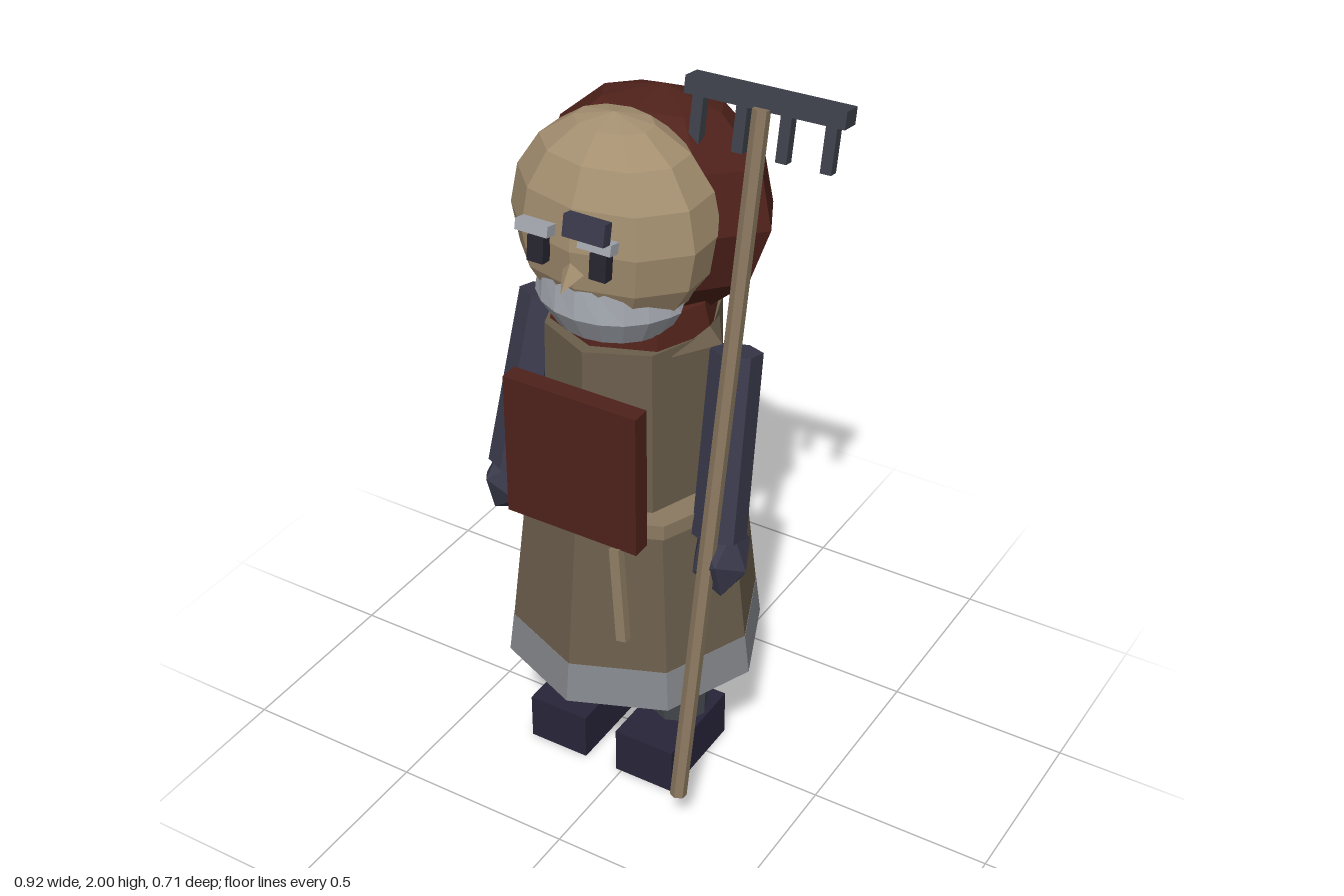
import * as THREE from 'three';

const CX = -0.066; // centre line of the figure

const mat = (color, side = THREE.FrontSide) =>
  new THREE.MeshStandardMaterial({ color, flatShading: true, side });

const M = {
  coat: mat(0x6b5e4c), trim: mat(0x8b7a61), skin: mat(0xa48f70), hood: mat(0x50221b),
  panel: mat(0x4f221b), beard: mat(0xa4a8b0, THREE.DoubleSide), hem: mat(0x85888c),
  sleeve: mat(0x39394b), boot: mat(0x28253a), leg: mat(0x42474c),
  wood: mat(0x87755d), iron: mat(0x3c4049), dark: mat(0x26242f),
};

export function createModel() {
  const root = new THREE.Group();
  root.name = 'gardener';

  const add = (name, geo, material, pos, rot = [0, 0, 0], scale = [1, 1, 1], parent = root) => {
    const m = new THREE.Mesh(geo, material);
    m.name = name;
    m.position.set(...pos);
    m.rotation.set(...rot);
    m.scale.set(...scale);
    parent.add(m);
    return m;
  };
  const box = (name, size, material, pos, rot, parent) =>
    add(name, new THREE.BoxGeometry(...size), material, pos, rot, [1, 1, 1], parent);
  // Upright eight-sided ring between two heights
  const band = (name, rTop, rBottom, y0, y1, material, scale) =>
    add(name, new THREE.CylinderGeometry(rTop, rBottom, y1 - y0, 8), material,
      [CX, (y0 + y1) / 2, 0], [0, 0, 0], scale);
  // Cylinder running from one point to another
  const limb = (name, a, b, rA, rB, sides, material) => {
    const from = new THREE.Vector3(...a), to = new THREE.Vector3(...b);
    const dir = to.clone().sub(from);
    const m = add(name, new THREE.CylinderGeometry(rB, rA, dir.length(), sides), material,
      from.add(to).multiplyScalar(0.5).toArray());
    m.quaternion.setFromUnitVectors(new THREE.Vector3(0, 1, 0), dir.normalize());
    return m;
  };

  // Coat
  band('hem', 0.336, 0.35, 0.34, 0.455, M.hem);
  band('skirt', 0.288, 0.335, 0.455, 0.87, M.coat);
  band('belt', 0.303, 0.303, 0.858, 0.9, M.trim);
  band('torso', 0.242, 0.252, 0.88, 1.355, M.coat, [0.9, 1, 1]);
  band('collar', 0.19, 0.25, 1.33, 1.4, M.coat, [1, 1, 0.65]);
  band('scarf', 0.2, 0.22, 1.35, 1.43, M.hood, [1, 1, 0.95]);

  // Front panel and hanging belt end
  box('frontPanel', [0.38, 0.4, 0.052], M.panel, [CX, 1.06, 0.281]);
  box('beltEnd', [0.028, 0.255, 0.025], M.trim, [0.085, 0.735, 0.322], [-0.14, 0, 0.16]);

  // Mirrored limbs
  for (const s of [-1, 1]) {
    const side = s > 0 ? 'left' : 'right';
    const x = (d) => CX + s * d;
    limb(side + 'Leg', [x(0.137), 0.1, 0], [x(0.137), 0.5, 0], 0.078, 0.092, 8, M.leg);
    box(side + 'Boot', [0.176, 0.135, 0.29], M.boot, [x(0.137), 0.0675, 0.045]);
    limb(side + 'Arm', [x(0.31), 0.84, 0.105], [x(0.28), 1.31, -0.02], 0.069, 0.066, 6, M.sleeve);
    add(side + 'Hand', new THREE.IcosahedronGeometry(0.105, 0), M.sleeve,
      [x(0.318), 0.785, s > 0 ? 0.105 : 0.08], [0.3, s * 0.4, 0], [0.76, 1.02, 1]);
    // Eyes and brows
    box(side + 'Eye', [0.045, 0.065, 0.03], M.dark, [x(0.086), 1.637, 0.285], [-0.1, 0, 0]);
    box(side + 'Brow', [0.09, 0.028, 0.035], M.beard, [x(0.086), 1.698, 0.296], [-0.2, 0, 0]);
  }

  // Head and hood
  add('head', new THREE.SphereGeometry(1, 10, 8, Math.PI / 2), M.skin,
    [CX, 1.65, 0.085], [0, 0, 0], [0.27, 0.275, 0.202]);
  add('hood', new THREE.SphereGeometry(1, 8, 6, Math.PI / 2), M.hood,
    [CX, 1.622, -0.09], [-0.17, 0, 0], [0.327, 0.29, 0.268]);
  add('nose', new THREE.ConeGeometry(0.042, 0.09, 4), M.skin,
    [CX, 1.58, 0.287], [2.1, 0, 0]);
  box('browPatch', [0.112, 0.055, 0.03], M.sleeve, [0.003, 1.743, 0.315], [-0.2, 0, 0]);

  // Beard: front half of a bowl with a jagged upper edge
  const profile = [[0, 1.38], [0.155, 1.388], [0.2, 1.46], [0.192, 1.55]]
    .map(([r, y]) => new THREE.Vector2(r, y));
  const beard = new THREE.LatheGeometry(profile, 10, -Math.PI / 2, Math.PI);
  const p = beard.attributes.position;
  for (let i = 0; i <= 10; i++) {
    const away = Math.abs(i - 5) / 5;
    const rim = i * 4 + 3;
    p.setY(rim, p.getY(rim) + (i % 2 ? 0.012 : -0.018) - 0.06 * away ** 3);
    if (i === 0 || i === 10) p.setZ(rim - 1, 0.03);
  }
  add('beard', beard, M.beard, [CX, 0, 0.085], [0, 0, 0], [1, 1, 0.94]);

  // Rake, leaning back at the top
  const rake = new THREE.Group();
  rake.name = 'rake';
  rake.position.set(0.252, 1.045, 0.135);
  rake.rotation.x = -0.19;
  root.add(rake);
  add('handle', new THREE.CylinderGeometry(0.022, 0.022, 1.86, 6), M.wood, [0, 0, 0],
    [0, 0, 0], [1, 1, 1], rake);
  const rakeHead = new THREE.Group();
  rakeHead.name = 'rakeHead';
  rakeHead.position.set(0, 0.945, -0.035);
  rakeHead.rotation.y = 0.07;
  rake.add(rakeHead);
  box('bar', [0.405, 0.043, 0.062], M.iron, [0, 0, 0], [0, 0, 0], rakeHead);
  for (let i = 0; i < 4; i++) {
    box('tine', [0.028, 0.12, 0.03], M.iron, [-0.168 + i * 0.112, -0.075, 0.01], [0, 0, 0], rakeHead);
  }

  return root;
}
